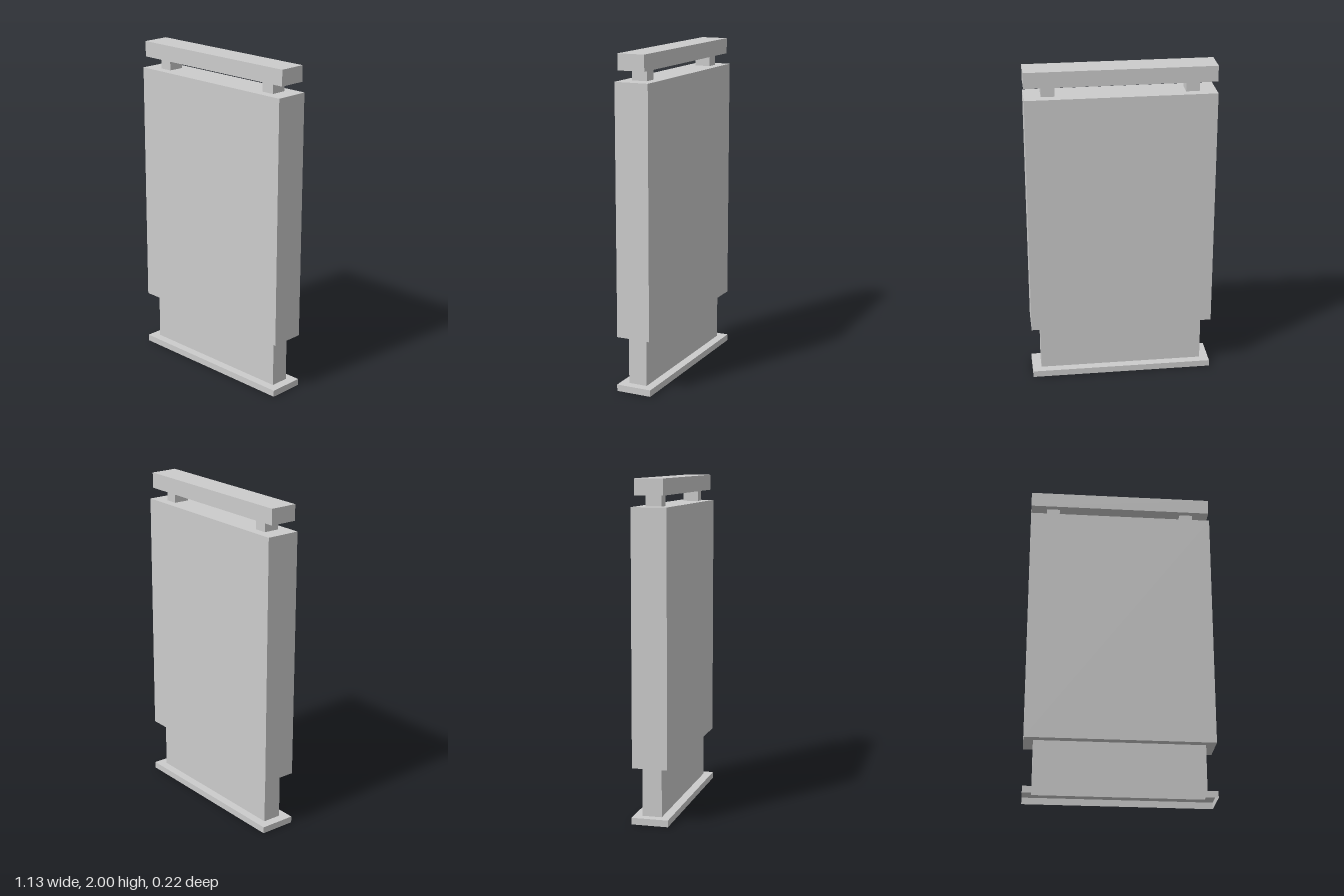
import * as THREE from 'three';

const material = new THREE.MeshStandardMaterial({ color: 0xcccccc, flatShading: true, side: THREE.DoubleSide });

// Solid block from half width, half depth and a height range
function block(name, halfX, halfZ, y0, y1, x = 0) {
  const mesh = new THREE.Mesh(new THREE.BoxGeometry(2 * halfX, y1 - y0, 2 * halfZ), material);
  mesh.name = name;
  mesh.position.set(x, (y0 + y1) / 2, 0);
  return mesh;
}

// Open shell of rectangular cross-sections [halfX, halfZ, y], joined in order
function shell(name, sections) {
  const positions = [];
  const index = [];
  for (const [x, z, y] of sections) {
    positions.push(-x, y, z, x, y, z, x, y, -z, -x, y, -z);
  }
  for (let i = 0; i < sections.length - 1; i++) {
    for (let j = 0; j < 4; j++) {
      const a = i * 4 + j, b = i * 4 + (j + 1) % 4;
      index.push(a, b, b + 4, a, b + 4, a + 4);
    }
  }
  const indexed = new THREE.BufferGeometry();
  indexed.setAttribute('position', new THREE.Float32BufferAttribute(positions, 3));
  indexed.setIndex(index);
  const geometry = indexed.toNonIndexed();
  geometry.computeVertexNormals();
  const mesh = new THREE.Mesh(geometry, material);
  mesh.name = name;
  return mesh;
}

export function createModel() {
  const model = new THREE.Group();
  model.name = 'displayStand';

  // Base plate, hollow underneath, with an opening into the pedestal
  model.add(shell('basePlate', [[0.563, 0.11, 0], [0.563, 0.11, 0.04], [0.508, 0.058, 0.04]]));

  // Hollow pedestal
  model.add(shell('pedestal', [[0.508, 0.058, 0.04], [0.508, 0.058, 0.337]]));

  // Main panel, open to the pedestal below and closed on top
  model.add(shell('panel', [
    [0.508, 0.058, 0.337], [0.565, 0.105, 0.337], [0.565, 0.105, 1.84], [0, 0, 1.84],
  ]));

  // Two short posts carrying the header beam
  for (const side of [-1, 1]) {
    model.add(block(side > 0 ? 'leftPost' : 'rightPost', 0.04, 0.048, 1.84, 1.905, side * 0.424));
  }
  model.add(block('headerBeam', 0.565, 0.084, 1.905, 2));

  return model;
}
